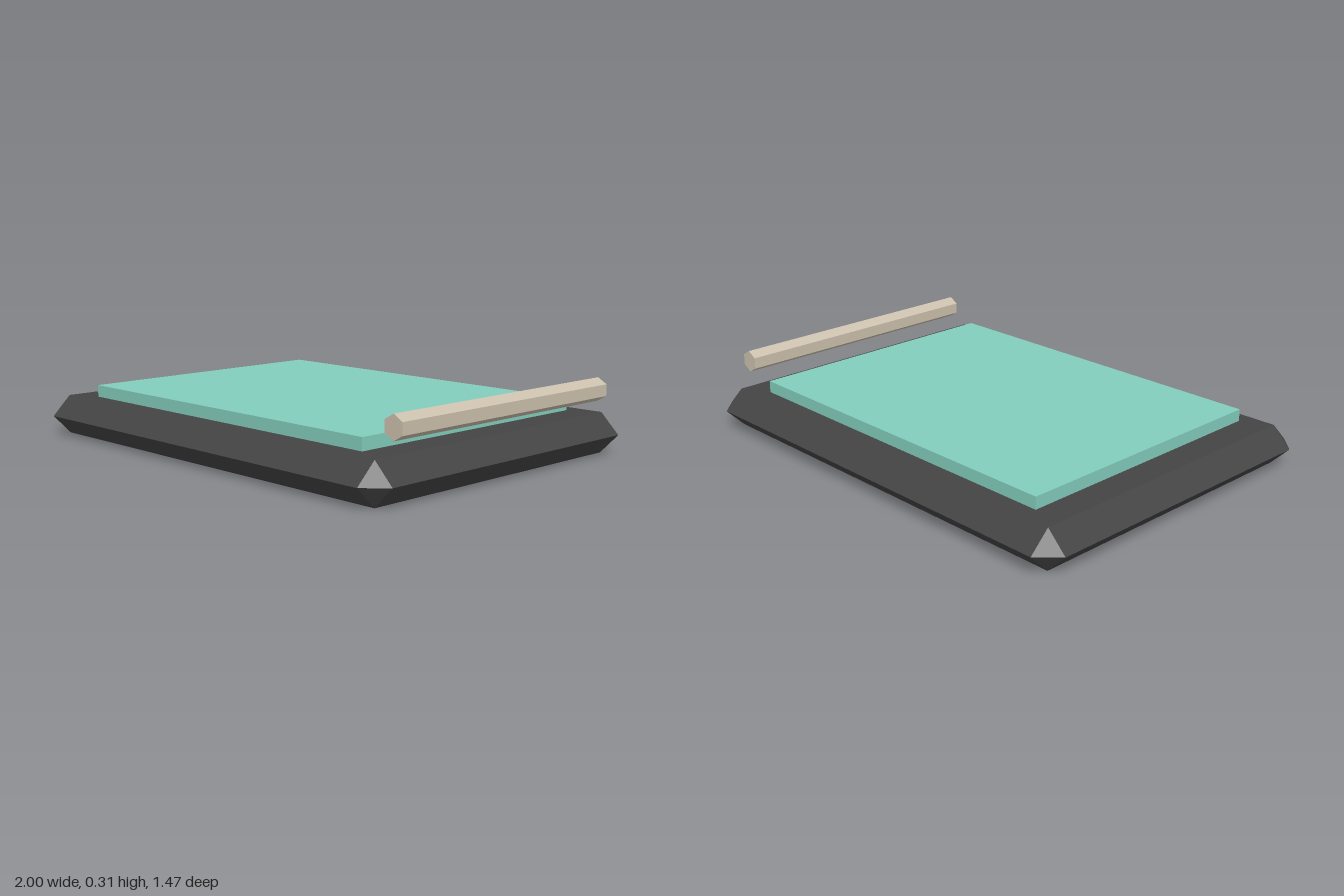
import * as THREE from 'three';
import { ConvexGeometry } from 'three/addons/geometries/ConvexGeometry.js';

const material = (name, color) => {
  const m = new THREE.MeshStandardMaterial({ color, flatShading: true });
  m.name = name;
  return m;
};

export function createModel() {
  const group = new THREE.Group();
  const charcoal = material('charcoal', 0x444444);
  const mint = material('mint', 0x82cdbc);
  const beige = material('beige', 0xcbc0ad);

  const add = (name, geometry, mat, x, y, z) => {
    const mesh = new THREE.Mesh(geometry, mat);
    mesh.name = name;
    mesh.position.set(x, y, z);
    group.add(mesh);
  };

  // Bevelled slab: inner box corners pushed out by the bevel along each axis
  const bevel = 0.0825, innerX = 0.9175, innerZ = 0.6525;
  const points = [];
  for (const sx of [-1, 1]) for (const sz of [-1, 1]) {
    const x = sx * innerX, z = sz * innerZ;
    points.push(
      new THREE.Vector3(x, bevel, z),
      new THREE.Vector3(x, -bevel, z),
      new THREE.Vector3(x + sx * bevel, 0, z),
      new THREE.Vector3(x, 0, z + sz * bevel)
    );
  }
  add('body', new ConvexGeometry(points), charcoal, 0, bevel, 0);

  // Raised screen panel
  add('screen', new THREE.BoxGeometry(1.59, 0.06, 1.174), mint, 0, 0.185, 0);

  // Hexagonal stylus hovering beside the screen
  const stylus = new THREE.CylinderGeometry(0.047, 0.047, 1.174, 6);
  stylus.rotateX(Math.PI / 2);
  add('stylus', stylus, beige, 0.94, 0.268, 0);

  return group;
}
